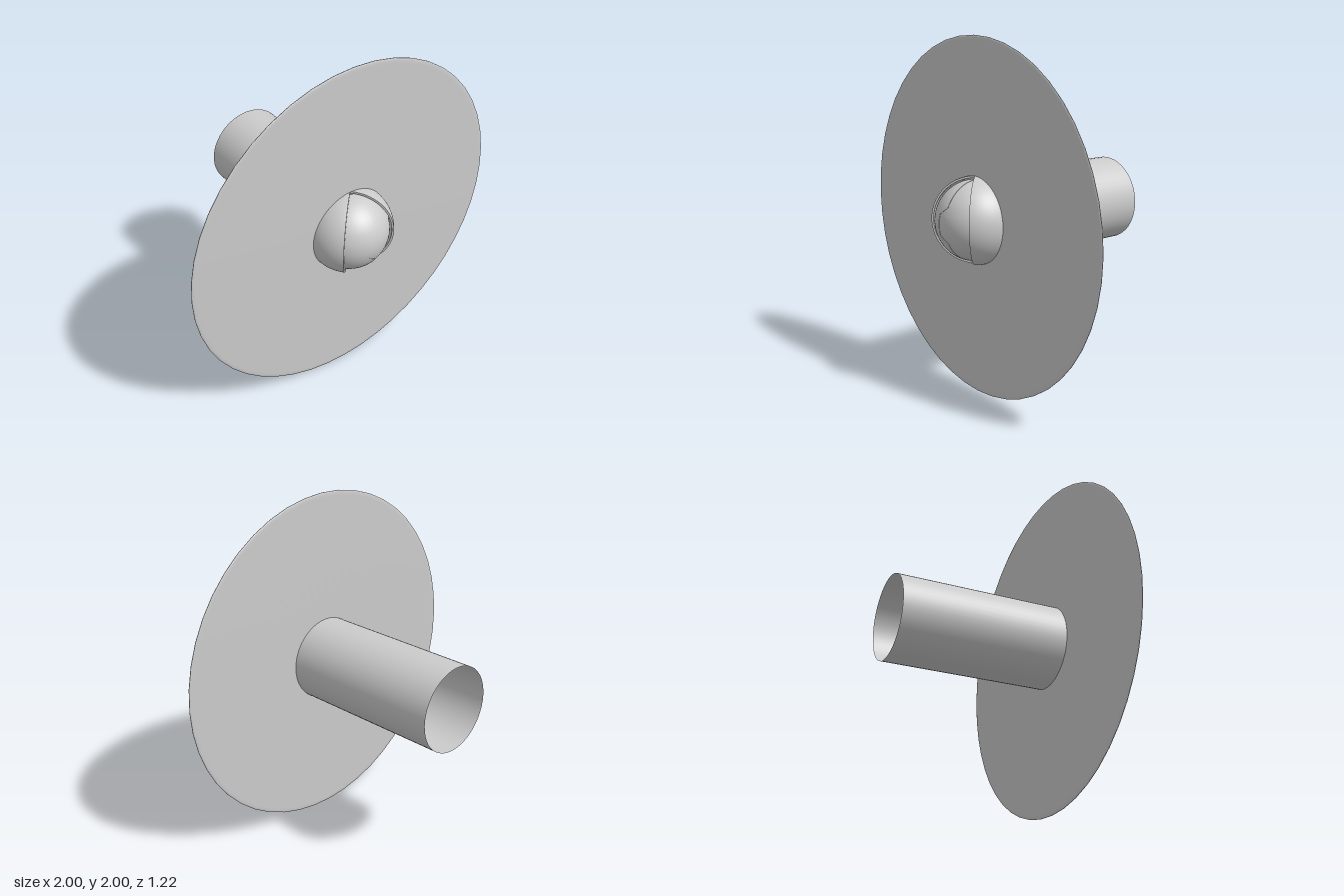
import * as THREE from 'three';

const CENTER_Y = 1, DISC_Z = 0.385, R = 0.247;
const grey = new THREE.MeshStandardMaterial({ color: 0xcccccc, side: THREE.DoubleSide });

// Thick piece of a sphere shell between two azimuths (0 = front), which may vary with latitude
function shellGeometry(from, to, inner, outer) {
  const geometry = new THREE.BoxGeometry(1, 1, 1, 16, 48, 1);
  const p = geometry.attributes.position;
  for (let i = 0; i < p.count; i++) {
    const lat = p.getY(i) * Math.PI;
    const phi = THREE.MathUtils.lerp(from(lat), to(lat), p.getX(i) + 0.5);
    const r = p.getZ(i) > 0 ? outer : inner;
    p.setXYZ(i, r * Math.cos(lat) * Math.sin(phi), r * Math.sin(lat), r * Math.cos(lat) * Math.cos(phi));
  }
  geometry.computeVertexNormals();
  return geometry;
}

// Stepped seam where the two lids meet
function seam(lat) {
  const t = THREE.MathUtils.clamp((Math.abs(lat) - 0.26) / 0.2, 0, 1);
  return THREE.MathUtils.lerp(-0.135, 0.12, t);
}

export function createModel() {
  const group = new THREE.Group();
  const add = (name, geometry, z) => {
    const mesh = new THREE.Mesh(geometry, grey);
    mesh.name = name;
    mesh.position.set(0, CENTER_Y, z);
    group.add(mesh);
  };

  // Thin round plate with a softened rim and a hole for the dome
  const profile = [
    [R, -0.005], [0.97, -0.005], [0.99, -0.004], [1, -0.002],
    [1, 0.002], [0.99, 0.004], [0.97, 0.005], [R, 0.005],
  ].map(([r, y]) => new THREE.Vector2(r, y));
  add('plate', new THREE.LatheGeometry(profile, 48).rotateX(Math.PI / 2), DISC_Z);

  // Open tube behind the plate
  const length = DISC_Z + 0.61;
  add('tube', new THREE.CylinderGeometry(R, R, length, 48, 1, true).rotateX(Math.PI / 2), DISC_Z - length / 2);

  // Outer dome: two side pieces leaving a window in front
  const quarter = Math.PI / 4, half = Math.PI / 2;
  add('leftCover', shellGeometry(() => quarter, () => half, 0.235, R), DISC_Z);
  add('rightCover', shellGeometry(() => -half, () => -quarter, 0.235, R), DISC_Z);

  // Inner lids closing the window along the stepped seam
  add('leftLid', shellGeometry(seam, () => half, 0.214, 0.224), DISC_Z);
  add('rightLid', shellGeometry(() => -half, seam, 0.214, 0.226), DISC_Z);

  return group;
}
